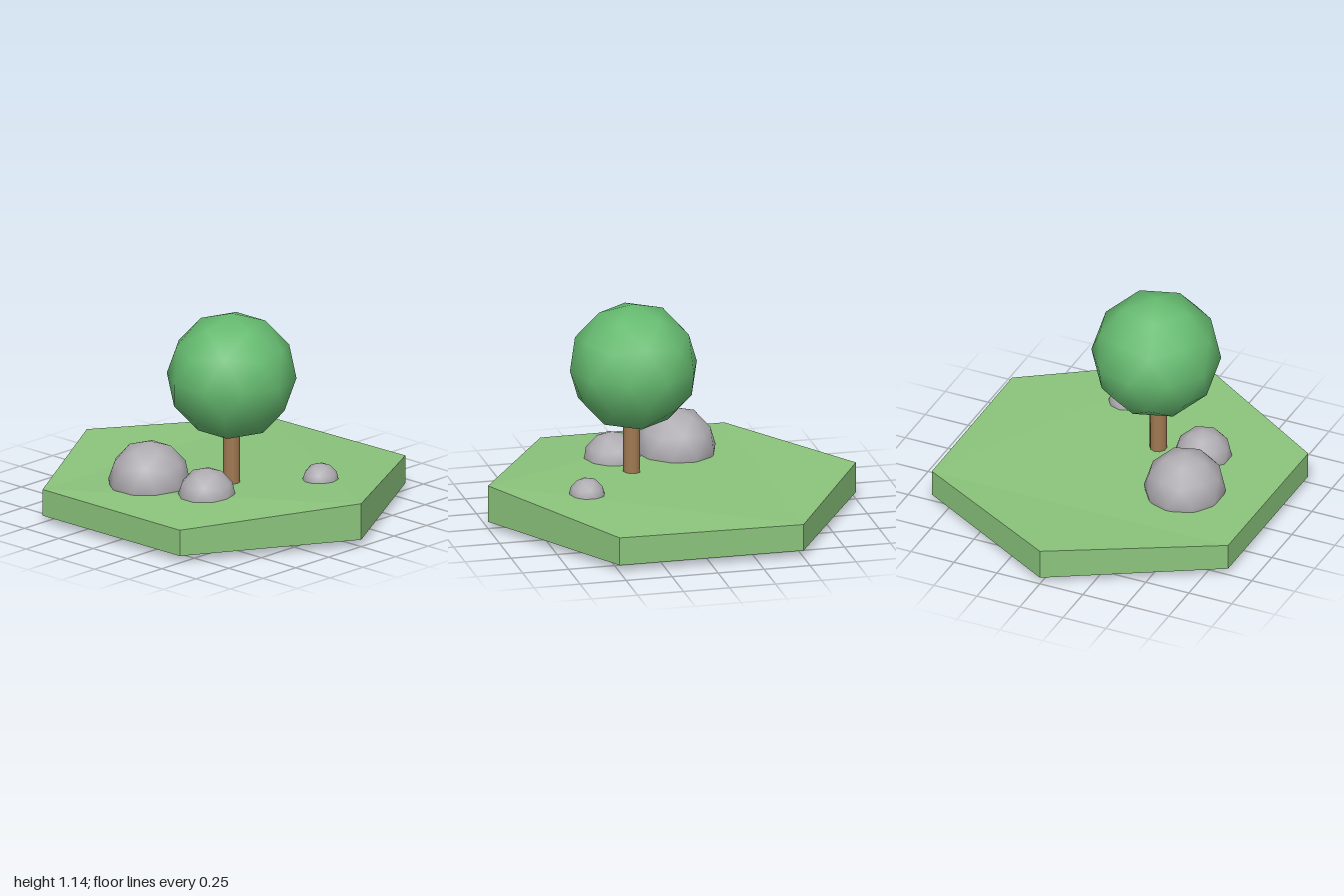
import * as THREE from 'three';

const material = (color, flatShading = false) => new THREE.MeshStandardMaterial({ color, flatShading });

// Low-poly ball with one vertex pointing straight up
function ball(name, radius, mat, x, y, z) {
  const geometry = new THREE.IcosahedronGeometry(radius, 1);
  geometry.rotateZ(Math.atan(2 / (1 + Math.sqrt(5))));
  const mesh = new THREE.Mesh(geometry, mat);
  mesh.name = name;
  mesh.position.set(x, y, z);
  return mesh;
}

// Hexagonal slab: flat base, each top corner at its own height
function hexSlab(base, heights) {
  const positions = [];
  const index = [];
  heights.forEach((h, k) => {
    const a = (k * Math.PI) / 3;
    const x = Math.sin(a) * 0.995, z = Math.cos(a);
    positions.push(x, base, z, x, h, z); // base corner 2k, top corner 2k + 1
  });
  // Two shallow folds run from the front corner to the rear side corners
  for (const [a, b, c] of [[0, 1, 2], [0, 2, 4], [2, 3, 4], [0, 4, 5]]) {
    index.push(2 * a + 1, 2 * b + 1, 2 * c + 1);
    index.push(2 * a, 2 * c, 2 * b);
  }
  // Side walls
  for (let k = 0; k < 6; k++) {
    const a = 2 * k, b = 2 * ((k + 1) % 6);
    index.push(a, b, b + 1, a, b + 1, a + 1);
  }
  const indexed = new THREE.BufferGeometry();
  indexed.setAttribute('position', new THREE.Float32BufferAttribute(positions, 3));
  indexed.setIndex(index);
  const geometry = indexed.toNonIndexed();
  geometry.computeVertexNormals();
  return geometry;
}

export function createModel() {
  const model = new THREE.Group();
  model.name = 'treeTile';

  // Ground, corners listed from the front round by the left
  const ground = new THREE.Mesh(
    hexSlab(0.04, [0.24, 0.193, 0.185, 0.205, 0.185, 0.183]),
    material(0x8bc47c, true)
  );
  ground.name = 'ground';
  model.add(ground);

  // Tree
  const tree = new THREE.Group();
  tree.name = 'tree';
  const trunk = new THREE.Mesh(new THREE.CylinderGeometry(0.046, 0.046, 0.4, 10), material(0xa07a52));
  trunk.name = 'trunk';
  trunk.position.set(-0.137, 0.36, 0.185);
  tree.add(trunk, ball('foliage', 0.345, material(0x66bb70), -0.128, 0.797, 0.178));
  model.add(tree);

  // Half-buried rocks
  const stone = material(0xb0adb2);
  model.add(
    ball('largeRock', 0.218, stone, -0.437, 0.22, -0.128),
    ball('mediumRock', 0.155, stone, -0.375, 0.2, 0.232),
    ball('smallRock', 0.098, stone, 0.2, 0.212, 0.513)
  );
  return model;
}
